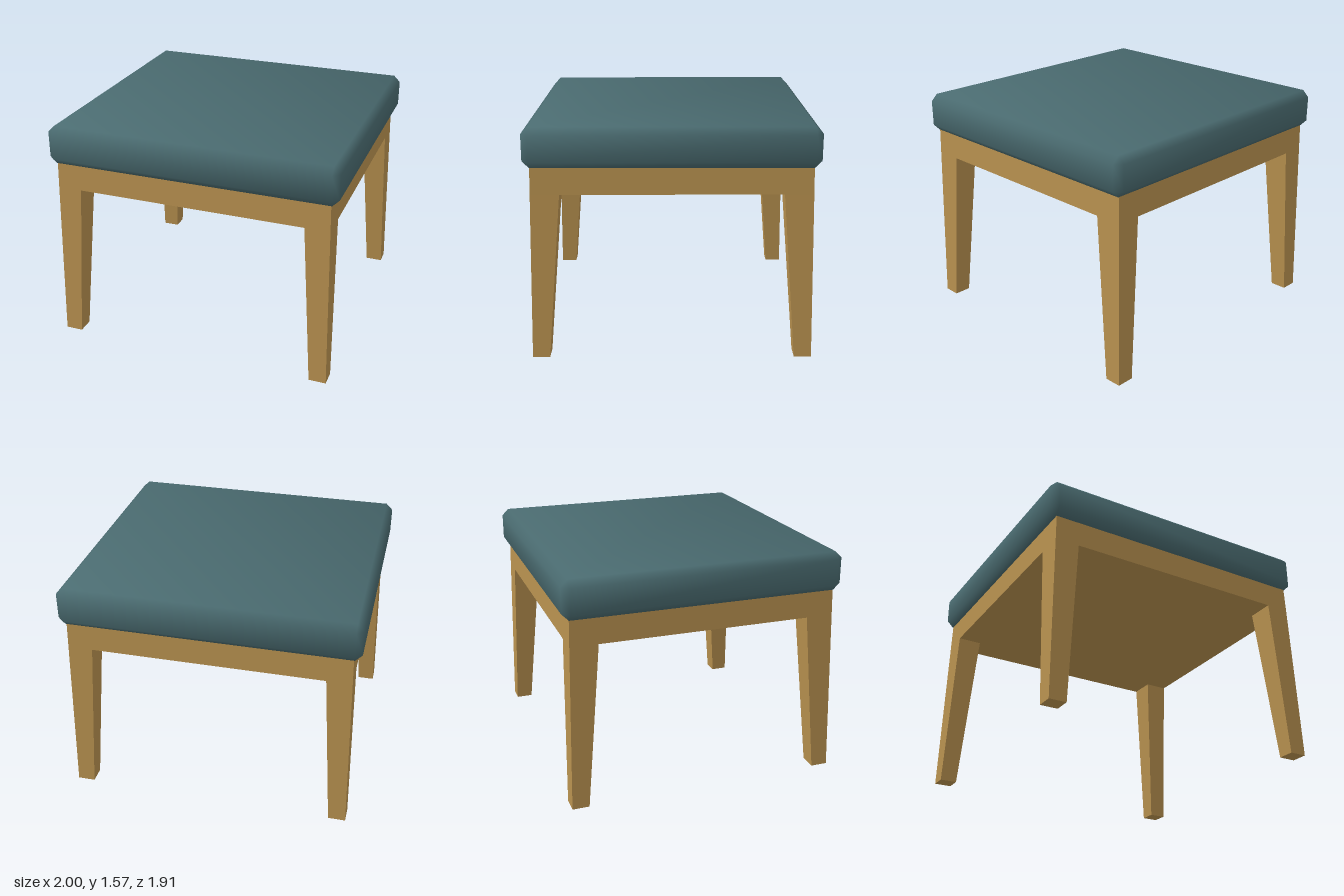
import * as THREE from 'three';
import { ConvexGeometry } from 'three/addons/geometries/ConvexGeometry.js';

const SEAT_BOTTOM = 1.307, SEAT_TOP = 1.573, APRON_BOTTOM = 1.13;

// Six-sided block whose rectangle changes from bottom to top; each rect is [x0, x1, z0, z1]
function taperedBlock(y0, y1, bottom, top) {
  const geo = new THREE.BoxGeometry(1, 1, 1).toNonIndexed();
  const p = geo.attributes.position;
  for (let i = 0; i < p.count; i++) {
    const up = p.getY(i) > 0;
    const r = up ? top : bottom;
    p.setXYZ(i, r[p.getX(i) > 0 ? 1 : 0], up ? y1 : y0, r[p.getZ(i) > 0 ? 3 : 2]);
  }
  geo.computeVertexNormals();
  return geo;
}

// Box with one chamfer per edge and normals blended softly over the whole cushion
function cushionGeometry(half, c) {
  const points = [];
  for (const sx of [-1, 1]) for (const sy of [-1, 1]) for (const sz of [-1, 1]) {
    for (let axis = 0; axis < 3; axis++) {
      const v = half.map((h, k) => (k === axis ? h : h - c));
      points.push(new THREE.Vector3(v[0] * sx, v[1] * sy, v[2] * sz));
    }
  }
  const geo = new ConvexGeometry(points);
  const p = geo.attributes.position;
  for (let i = 0; i < p.count; i++) {
    const v = [p.getX(i), p.getY(i), p.getZ(i)];
    // The axis of the main face leads, the other two lean outwards
    const n = v.map((a, k) => Math.sign(a) * (half[k] - Math.abs(a) < c / 2 ? 1 : 0.36));
    const normal = new THREE.Vector3(...n).normalize();
    geo.attributes.normal.setXYZ(i, normal.x, normal.y, normal.z);
  }
  return geo;
}

export function createModel() {
  const wood = new THREE.MeshStandardMaterial({ color: 0xb8914f });
  wood.name = 'wood';
  const upholstery = new THREE.MeshStandardMaterial({ color: 0x4a6b70 });
  upholstery.name = 'upholstery';

  const model = new THREE.Group();
  model.name = 'stool';
  const add = (name, geo, mat) => {
    const mesh = new THREE.Mesh(geo, mat);
    mesh.name = name;
    model.add(mesh);
    return mesh;
  };

  // Padded seat
  const height = SEAT_TOP - SEAT_BOTTOM;
  add('seatCushion', cushionGeometry([1, height / 2, 0.953], 0.046), upholstery)
    .position.y = SEAT_BOTTOM + height / 2;

  // Solid apron under the seat, flush with the legs
  add('apron', taperedBlock(APRON_BOTTOM, SEAT_BOTTOM,
    [-0.953, 0.953, -0.911, 0.911], [-0.949, 0.949, -0.907, 0.907]), wood);

  // Four splayed legs, mirrored by ordering each range for its side
  const range = (s, inner, outer) => (s > 0 ? [inner, outer] : [-outer, -inner]);
  for (const [sz, end] of [[1, 'front'], [-1, 'back']]) {
    for (const [sx, side] of [[1, 'Left'], [-1, 'Right']]) {
      const foot = [...range(sx, 0.86, 0.979), ...range(sz, 0.82, 0.936)];
      const top = [...range(sx, 0.785, 0.953), ...range(sz, 0.723, 0.911)];
      add(end + side + 'Leg', taperedBlock(0, APRON_BOTTOM, foot, top), wood);
    }
  }
  return model;
}
